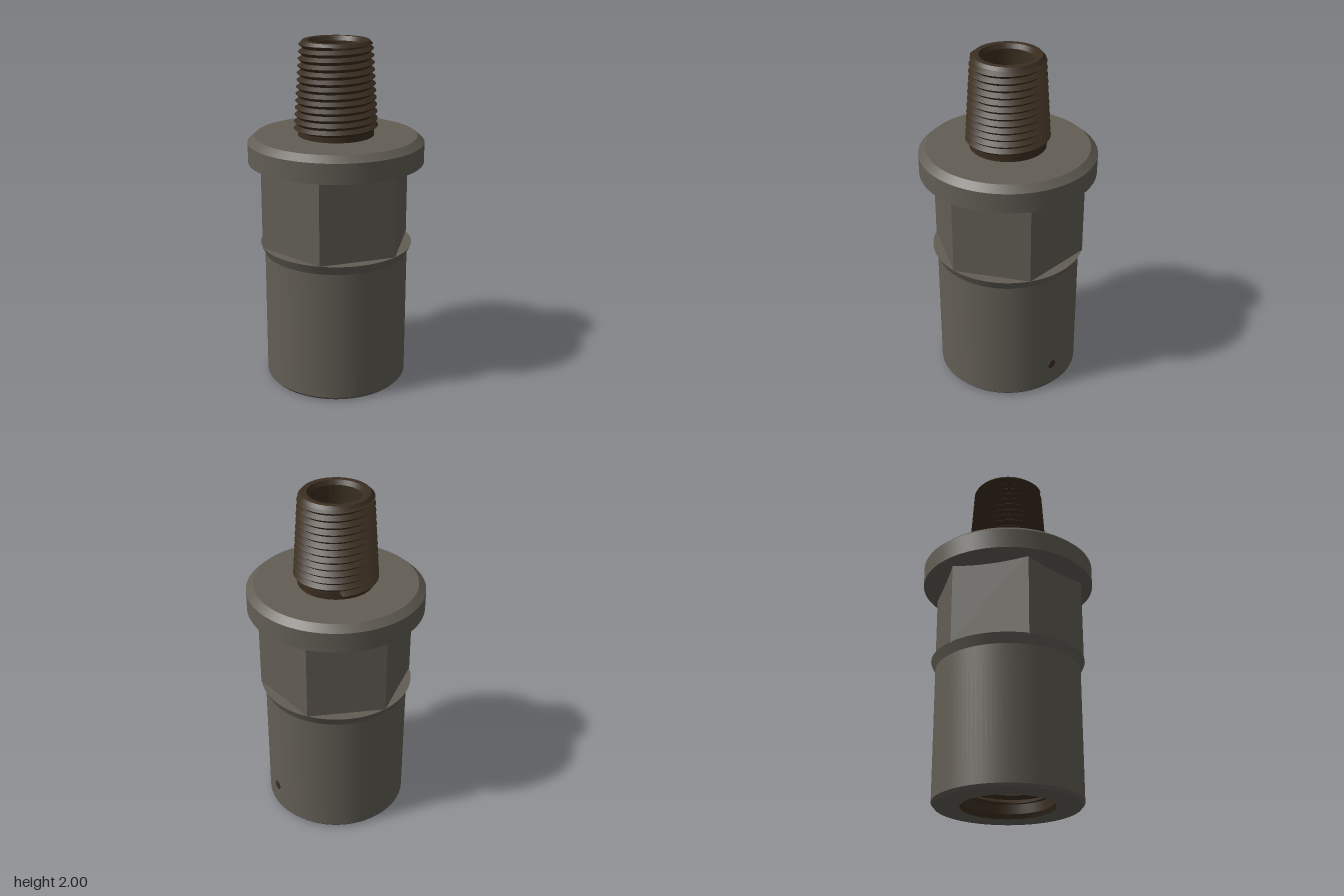
import * as THREE from 'three';
import { toCreasedNormals } from 'three/addons/utils/BufferGeometryUtils.js';

const SEGMENTS = 96;
const PITCH = 0.039;

const steel = new THREE.MeshStandardMaterial({ color: 0x625e55 });
steel.name = 'grey steel';
const bronze = new THREE.MeshStandardMaterial({ color: 0x3a2e20 });
bronze.name = 'dark bronze';

function addMesh(group, name, geometry, material) {
  const mesh = new THREE.Mesh(geometry, material);
  mesh.name = name;
  group.add(mesh);
}

// Turned part from [radius, height] pairs; going up faces outward, going down faces inward
function turned(profile) {
  const points = profile.map(([r, y]) => new THREE.Vector2(r, y));
  return toCreasedNormals(new THREE.LatheGeometry(points, SEGMENTS), 0.35);
}

// Tapered helical thread between two heights; depth is cut inward from the crest
function threaded(y0, y1, r0, r1, depth, inward) {
  const count = 2 * Math.ceil((y1 - y0) / PITCH) + 4;
  const rows = Array.from({ length: count }, () => new THREE.Vector2(1, 0));
  const geometry = new THREE.LatheGeometry(rows, SEGMENTS);
  const pos = geometry.attributes.position;
  for (let i = 0; i <= SEGMENTS; i++) {
    const angle = (i / SEGMENTS) * Math.PI * 2;
    for (let j = 0; j < count; j++) {
      const row = inward ? count - 1 - j : j;
      const raw = y0 + PITCH * (row / 2 - 1 + i / SEGMENTS);
      const y = THREE.MathUtils.clamp(raw, y0, y1);
      const crest = THREE.MathUtils.lerp(r0, r1, (y - y0) / (y1 - y0));
      const r = row % 2 && y === raw ? crest : crest - depth;
      pos.setXYZ(i * count + j, r * Math.sin(angle), y, r * Math.cos(angle));
    }
  }
  return toCreasedNormals(geometry, 0.35);
}

export function createModel() {
  const model = new THREE.Group();
  model.name = 'threadedAdapter';

  // Lower barrel with flared collar
  addMesh(model, 'barrel', turned([
    [0.26, 0], [0.4, 0], [0.415, 0.017], [0.415, 0.78], [0.44, 0.835], [0.3, 0.835],
  ]), steel);

  // Hexagonal wrench section, corners on the x axis
  const hex = new THREE.CylinderGeometry(0.442, 0.442, 0.5, 6, 1, true, Math.PI / 6);
  hex.translate(0, 1.08, 0);
  addMesh(model, 'hexSection', toCreasedNormals(hex, 0.35), steel);

  // Chamfered flange with conical underside
  addMesh(model, 'flange', turned([
    [0.36, 1.29], [0.385, 1.29], [0.5, 1.32], [0.5, 1.435], [0.46, 1.47], [0.2, 1.47],
  ]), steel);

  // Male nipple
  addMesh(model, 'nippleNeck', turned([[0.215, 1.46], [0.215, 1.505]]), bronze);
  addMesh(model, 'maleThread', threaded(1.5, 1.985, 0.239, 0.207, 0.025, false), bronze);
  addMesh(model, 'nippleRim', turned([
    [0.182, 1.982], [0.202, 1.982], [0.186, 2], [0.155, 2], [0.14, 1.975],
  ]), bronze);

  // Through bore and female socket
  addMesh(model, 'bore', turned([[0.14, 1.975], [0.14, 0.62], [0.206, 0.62], [0.206, 0.55]]), bronze);
  addMesh(model, 'femaleThread', threaded(0.08, 0.55, 0.25, 0.231, 0.025, true), bronze);
  addMesh(model, 'socketMouth', turned([[0.225, 0.08], [0.247, 0.08], [0.247, 0.025], [0.26, 0]]), bronze);

  // Small round mark on the side of the barrel
  const mark = new THREE.CylinderGeometry(0.028, 0.028, 0.006, 8);
  mark.rotateZ(-Math.PI / 2);
  mark.translate(0.4145, 0.16, 0);
  mark.rotateY(Math.atan2(0.16, 0.383));
  addMesh(model, 'sideMark', toCreasedNormals(mark, 0.9), bronze);

  return model;
}
